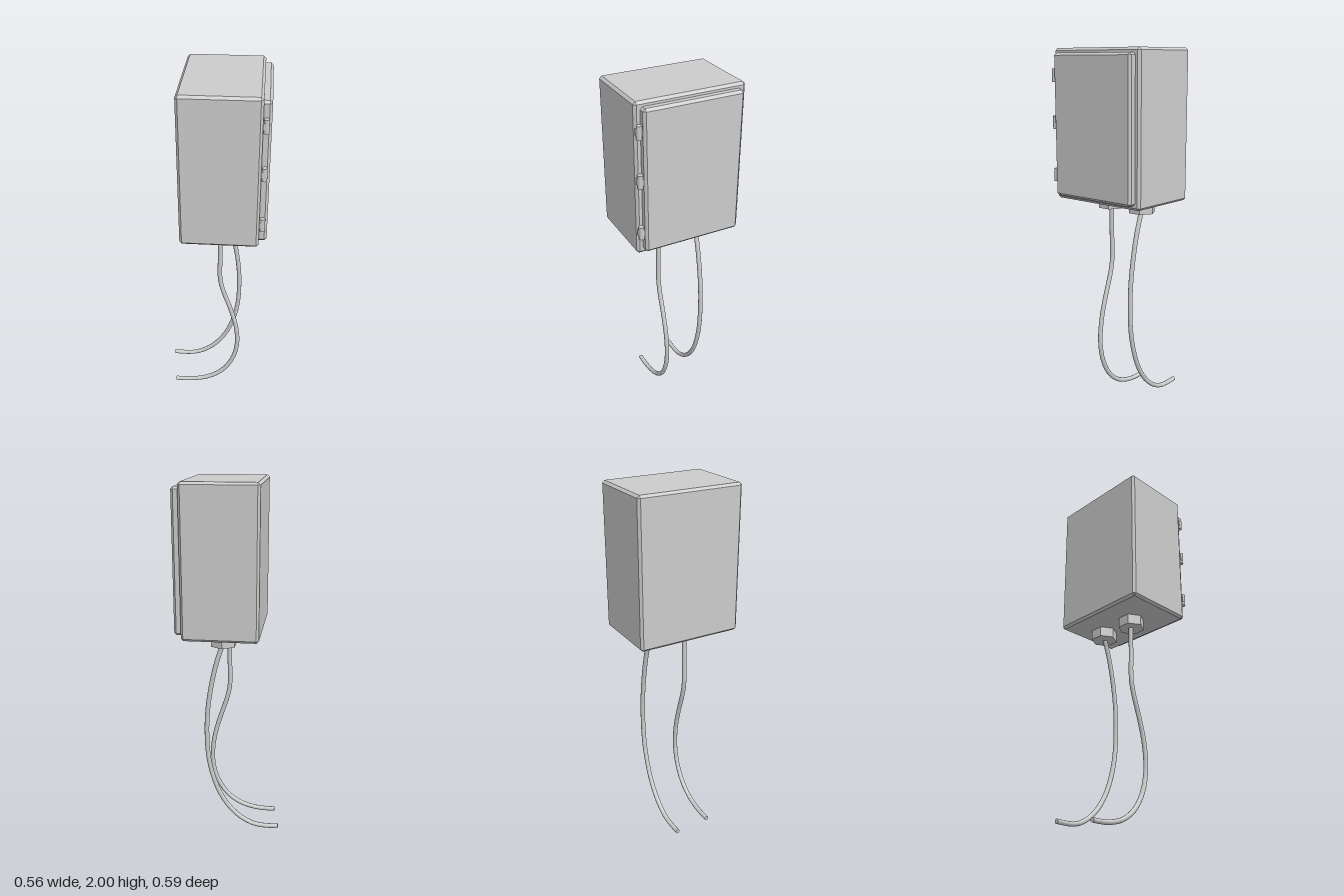
import * as THREE from 'three';
import { ConvexGeometry } from 'three/addons/geometries/ConvexGeometry.js';

const material = new THREE.MeshStandardMaterial({ color: 0xcccccc });

function add(parent, name, geometry, x = 0, y = 0, z = 0) {
  const mesh = new THREE.Mesh(geometry, material);
  mesh.name = name;
  mesh.position.set(x, y, z);
  parent.add(mesh);
  return mesh;
}

// Box with every edge cut at 45 degrees by c
function chamferedBox(w, h, d, c) {
  const points = [];
  for (const sx of [-1, 1]) for (const sy of [-1, 1]) for (const sz of [-1, 1]) {
    const [x, y, z] = [w / 2, h / 2, d / 2];
    points.push(
      new THREE.Vector3(sx * x, sy * (y - c), sz * (z - c)),
      new THREE.Vector3(sx * (x - c), sy * y, sz * (z - c)),
      new THREE.Vector3(sx * (x - c), sy * (y - c), sz * z));
  }
  return new ConvexGeometry(points);
}

// Round cable through [x, y] points in the plane of constant z, with a closed end
function addCable(parent, name, z, path) {
  const group = new THREE.Group();
  group.name = name;
  const radius = 0.013;
  const curve = new THREE.CatmullRomCurve3(path.map(([x, y]) => new THREE.Vector3(x, y, z)));
  add(group, name + 'Sheath', new THREE.TubeGeometry(curve, 36, radius, 12));
  const end = curve.getPoint(1);
  const cap = add(group, name + 'End', new THREE.CircleGeometry(radius, 12), end.x, end.y, end.z);
  cap.quaternion.setFromUnitVectors(new THREE.Vector3(0, 0, 1), curve.getTangent(1));
  parent.add(group);
}

export function createModel() {
  const model = new THREE.Group();
  model.name = 'electricalEnclosure';

  // Cabinet and door (door faces +x)
  add(model, 'cabinet', chamferedBox(0.408, 0.808, 0.593, 0.013), 0.036, 1.596, -0.0015);
  add(model, 'door', chamferedBox(0.06, 0.76, 0.535, 0.013), 0.25, 1.595, -0.0025);

  // Hinges down the front edge of the door
  for (const y of [1.86, 1.61, 1.325]) {
    const hinge = new THREE.Group();
    hinge.name = 'hinge';
    hinge.position.set(0.255, y, 0.279);
    add(hinge, 'hingePin', new THREE.CylinderGeometry(0.014, 0.014, 0.07, 16));
    add(hinge, 'bodyLeaf', new THREE.BoxGeometry(0.016, 0.035, 0.028), -0.008, 0, 0);
    add(hinge, 'doorLeaf', new THREE.BoxGeometry(0.016, 0.035, 0.022), 0.002, 0, -0.011);
    model.add(hinge);
  }

  // Hexagonal cable glands under the cabinet
  const hexagon = new THREE.CylinderGeometry(0.074, 0.074, 0.06, 6).toNonIndexed();
  hexagon.computeVertexNormals();
  const frontZ = 0.075, backZ = -0.148;
  for (const z of [frontZ, backZ]) add(model, 'cableGland', hexagon, 0.034, 1.165, z);

  // Cables hanging down and curling toward -x
  addCable(model, 'frontCable', frontZ, [
    [0.03, 1.16], [0.03, 0.98], [0.03, 0.82], [0.047, 0.74], [0.09, 0.61], [0.12, 0.5],
    [0.134, 0.4], [0.132, 0.31], [0.107, 0.21], [0.05, 0.115], [-0.03, 0.053],
    [-0.12, 0.024], [-0.18, 0.018], [-0.245, 0.018]]);
  addCable(model, 'backCable', backZ, [
    [0.033, 1.16], [0.075, 1.03], [0.108, 0.88], [0.127, 0.74], [0.132, 0.6], [0.125, 0.47],
    [0.104, 0.36], [0.066, 0.25], [0.013, 0.16], [-0.055, 0.09], [-0.13, 0.048],
    [-0.19, 0.037], [-0.28, 0.038]]);

  return model;
}
